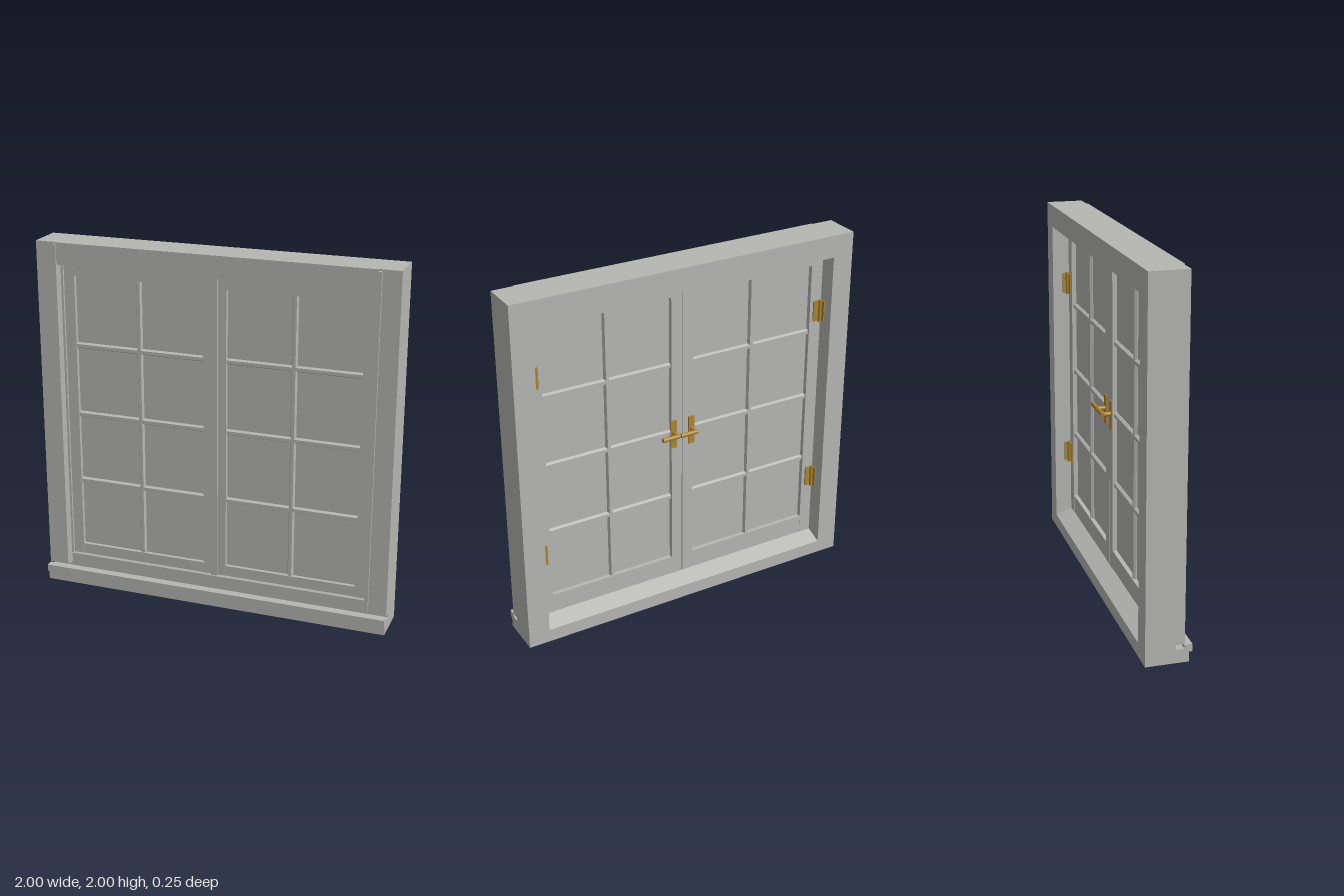
import * as THREE from 'three';

export function createModel() {
  const model = new THREE.Group();
  model.name = 'casementWindow';
  const paint = new THREE.MeshStandardMaterial({ color: 0xb6b6b3 });
  paint.name = 'greyPaint';
  const brass = new THREE.MeshStandardMaterial({ color: 0xab8434 });
  brass.name = 'brass';

  function add(parent, name, geometry, material = paint) {
    const mesh = new THREE.Mesh(geometry, material);
    mesh.name = name;
    parent.add(mesh);
    return mesh;
  }
  // Box given by its limits on each axis
  function box(parent, name, [x0, x1], [y0, y1], [z0, z1], material) {
    const g = new THREE.BoxGeometry(x1 - x0, y1 - y0, z1 - z0);
    g.translate((x0 + x1) / 2, (y0 + y1) / 2, (z0 + z1) / 2);
    return add(parent, name, g, material);
  }
  // Side profile of [z, y] points swept from x0 to x1
  function sweepX(parent, name, points, x0, x1) {
    const shape = new THREE.Shape(points.map(([z, y]) => new THREE.Vector2(z, y)));
    const g = new THREE.ExtrudeGeometry(shape, { depth: x1 - x0, bevelEnabled: false });
    g.rotateY(-Math.PI / 2);
    g.translate(x1, 0, 0);
    return add(parent, name, g);
  }
  // Glazing bar with chamfered edges, swept along its length and centred on (x, y)
  function bar(parent, name, x, y, length, vertical) {
    const w = 0.016, t = 0.009, d = 0.022, e = 0.008;
    const shape = new THREE.Shape([[-w, -e], [-t, -d], [t, -d], [w, -e], [w, e], [t, d], [-t, d], [-w, e]]
      .map(([a, b]) => new THREE.Vector2(a, b)));
    const g = new THREE.ExtrudeGeometry(shape, { depth: length, bevelEnabled: false });
    g.translate(0, 0, -length / 2);
    g.rotateX(Math.PI / 2);
    if (!vertical) g.rotateZ(Math.PI / 2);
    g.translate(x, y, 0);
    return add(parent, name, g);
  }

  // Sill with raised nose and a drainage groove
  sweepX(model, 'sill', [[-0.125, 0], [0.106, 0], [0.106, 0.055], [0.123, 0.055], [0.123, 0.095],
    [0.08, 0.095], [0.08, 0.075], [-0.125, 0.075]], -1, 1);
  // Sloping inner sill and bottom frame member
  sweepX(model, 'threshold', [[-0.125, 0.075], [0.037, 0.075], [0.037, 0.152], [0.03, 0.16], [0, 0.16],
    [0, 0.112], [-0.03, 0.112]], -0.88, 0.88);

  // Head with a drip moulding
  box(model, 'head', [-0.88, 0.88], [1.9, 2], [-0.125, 0.09]);
  box(model, 'headLower', [-0.88, 0.88], [1.875, 1.9], [-0.125, 0.08]);
  box(model, 'headMoulding', [-0.88, 0.88], [1.885, 1.9], [0.08, 0.086]);
  box(model, 'headStop', [-0.868, 0.868], [1.868, 1.875], [0.025, 0.042]);

  for (const s of [-1, 1]) {
    const span = (a, b) => (s > 0 ? [a, b] : [-b, -a]);
    const side = s > 0 ? 'left' : 'right';

    // Jamb, notched over the sill groove, with bead and stop
    const [j0, j1] = span(0.88, 1);
    sweepX(model, side + 'Jamb', [[-0.125, 0.075], [0.037, 0.075], [0.037, 0.1], [0.082, 0.1],
      [0.082, 2], [-0.125, 2]], j0, j1);
    box(model, side + 'JambBead', span(0.88, 0.9), [0.11, 1.99], [0.082, 0.096]);
    box(model, side + 'JambStop', span(0.868, 0.88), [0.16, 1.875], [0.025, 0.042]);

    // Sash frame
    const sash = new THREE.Group();
    sash.name = side + 'Sash';
    model.add(sash);
    const depth = [-0.03, 0.028];
    box(sash, 'meetingStile', span(0.002, 0.065), [0.11, 1.874], depth);
    box(sash, 'hingeStile', span(0.808, 0.879), [0.11, 1.874], depth);
    box(sash, 'bottomRail', span(0.065, 0.808), [0.11, 0.22], [-0.028, 0.026]);
    box(sash, 'topRail', span(0.065, 0.808), [1.808, 1.874], [-0.028, 0.026]);

    // Panes and glazing bars
    box(sash, 'panes', span(0.06, 0.812), [0.215, 1.812], [-0.004, 0.004]);
    bar(sash, 'verticalBar', s * 0.437, 1.014, 1.588, true);
    for (const y of [0.615, 1.015, 1.415]) bar(sash, 'horizontalBar', s * 0.437, y, 0.743, false);

    // Hinges on the inner face
    for (const y of [0.49, 1.54]) {
      const hinge = new THREE.Group();
      hinge.name = side + 'Hinge';
      model.add(hinge);
      box(hinge, 'hingeLeaf', span(0.828, 0.866), [y - 0.06, y + 0.06], [-0.037, -0.03], brass);
      box(hinge, 'hingeFrameLeaf', span(0.873, 0.88), [y - 0.06, y + 0.06], [-0.068, -0.03], brass);
      add(hinge, 'hingePin', new THREE.CylinderGeometry(0.01, 0.01, 0.13, 16), brass)
        .position.set(s * 0.867, y, -0.042);
    }

    // Lever handle on the inner face; both levers point the same way
    const handle = new THREE.Group();
    handle.name = side + 'Handle';
    handle.position.set(s * 0.055, 1.02, -0.03);
    model.add(handle);
    box(handle, 'handlePlate', [-0.018, 0.018], [-0.09, 0.075], [-0.008, 0], brass);
    const spindle = add(handle, 'handleSpindle', new THREE.CylinderGeometry(0.012, 0.012, 0.05, 16), brass);
    spindle.rotation.x = Math.PI / 2;
    spindle.position.z = -0.03;
    const lever = add(handle, 'handleLever', new THREE.CylinderGeometry(0.013, 0.011, 0.105, 16), brass);
    lever.rotation.z = -Math.PI / 2;
    lever.position.set(0.04, 0, -0.052);
  }

  // Cover strip over the meeting stiles
  box(model, 'meetingStrip', [-0.018, 0.018], [0.16, 1.868], [0.026, 0.042]);
  return model;
}
